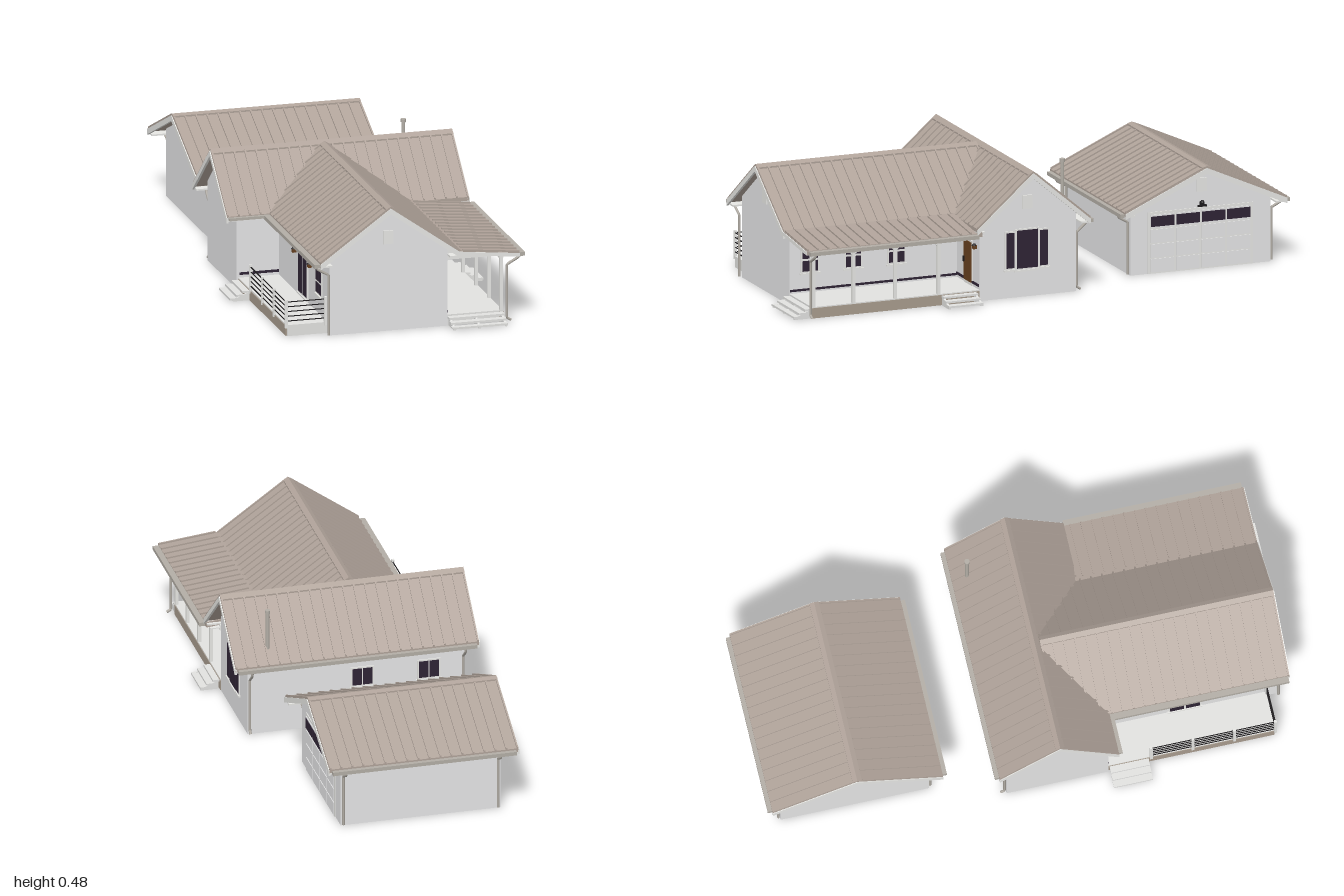
import * as THREE from 'three';

const mat = (name, color) => Object.assign(new THREE.MeshStandardMaterial({ color }), { name });

export function createModel() {
  const root = new THREE.Group();
  root.name = 'houseWithGarage';
  const wall = mat('pale wall', 0xe5e5e6), trim = mat('white trim', 0xebebe8);
  const roofing = mat('taupe roof', 0xb0a39a);
  const glass = mat('dark purple', 0x2f2435), wood = mat('brown door', 0x66401f);
  const gutterMat = mat('grey gutter', 0xb3aea6), stone = mat('tan skirting', 0xa89c8e);
  const black = mat('black metal', 0x1c1a1c), deckMat = mat('light decking', 0xe2e2e0);

  const add = (name, geo, m) => {
    const mesh = new THREE.Mesh(geo, m);
    mesh.name = name;
    root.add(mesh);
    return mesh;
  };
  // box given by its limits
  const box = (name, m, x0, x1, y0, y1, z0, z1) =>
    add(name, new THREE.BoxGeometry(x1 - x0, y1 - y0, z1 - z0), m)
      .position.set((x0 + x1) / 2, (y0 + y1) / 2, (z0 + z1) / 2);
  // box addressed by (along, across) so that it can follow either ridge direction
  const rbox = (name, m, axis, a0, a1, y0, y1, u0, u1) => axis === 'x'
    ? box(name, m, a0, a1, y0, y1, u0, u1) : box(name, m, u0, u1, y0, y1, a0, a1);
  // polygon in (across, y) swept along an axis
  const prism = (name, m, axis, pts, from, to) => {
    const s = new THREE.Shape(pts.map(([u, y]) => new THREE.Vector2(axis === 'x' ? -u : u, y)));
    const g = new THREE.ExtrudeGeometry(s, { depth: to - from, bevelEnabled: false });
    g.translate(0, 0, from);
    if (axis === 'x') g.rotateY(Math.PI / 2);
    return add(name, g, m);
  };
  const band = (p, q, lo, hi) => [[p[0], p[1] + lo], [q[0], q[1] + lo], [q[0], q[1] + hi], [p[0], p[1] + hi]];

  // one roof plane with standing seams that stop short of the ridge cap
  function slope(axis, from, to, p, q) {
    prism('roofPlane', roofing, axis, band(p, q, -0.014, 0), from, to);
    const n = Math.round((to - from) / 0.0415);
    const top = [p[0] + (q[0] - p[0]) * 0.06, p[1] + (q[1] - p[1]) * 0.06];
    for (let i = 0; i <= n; i++) {
      const c = from + 0.004 + (to - from - 0.008) * i / n;
      prism('roofSeam', roofing, axis, band(top, q, -0.001, 0.006), c - 0.003, c + 0.003);
    }
  }

  // gabled block: walls, roof, rakes, soffits, gutters
  function gabled(axis, w, len, roofLen, ridge, eaves, gutters, rakes) {
    const at = u => {
      const e = u < ridge[0] ? eaves[0] : eaves[1];
      return ridge[1] + (e[1] - ridge[1]) * (u - ridge[0]) / (e[0] - ridge[0]);
    };
    prism('walls', wall, axis, [[w[0], 0], [w[1], 0], [w[1], at(w[1]) - 0.012],
      [ridge[0], ridge[1] - 0.012], [w[0], at(w[0]) - 0.012]], len[0], len[1]);
    eaves.forEach((e, i) => {
      slope(axis, roofLen[0], roofLen[1], ridge, e);
      const s = Math.sign(e[0] - ridge[0]), lo = Math.min(e[0], w[i]), hi = Math.max(e[0], w[i]);
      rbox('soffit', trim, axis, roofLen[0] + 0.004, roofLen[1] - 0.004, e[1] - 0.019, e[1] - 0.013, lo, hi);
      if (gutters[i]) {
        const g = e[0] + s * 0.007;
        rbox('gutter', gutterMat, axis, roofLen[0] + 0.01, roofLen[1] - 0.01, e[1] - 0.02, e[1] - 0.006, g - 0.009, g + 0.009);
      }
      rakes.forEach(end => {
        const a = roofLen[end], out = end ? 0.003 : -0.003;
        prism('rakeBoard', trim, axis, band(ridge, e, -0.024, -0.003), Math.min(a - out * 2, a + out), Math.max(a - out * 2, a + out));
      });
    });
    const cap = [-1, 1].map(s => [ridge[0] + s * 0.017, at(ridge[0] + s * 0.017)]);
    prism('ridgeCap', roofing, axis, [[cap[0][0], cap[0][1] - 0.004], [cap[1][0], cap[1][1] - 0.004],
      [cap[1][0], cap[1][1] + 0.006], [ridge[0], ridge[1] + 0.004], [cap[0][0], cap[0][1] + 0.006]], roofLen[0], roofLen[1]);
  }

  // plate on a wall: axis is the wall's normal, dir the side it faces
  const plate = (name, m, axis, pos, dir, c0, c1, y0, y1, t) => {
    const a = Math.min(pos, pos + dir * t), b = Math.max(pos, pos + dir * t);
    return axis === 'x' ? box(name, m, a, b, y0, y1, c0, c1) : box(name, m, c0, c1, y0, y1, a, b);
  };
  function windowAt(axis, pos, dir, c, w, y0, y1, cols, rows, gap = 0.008) {
    plate('windowFrame', trim, axis, pos, dir, c - w / 2 - 0.006, c + w / 2 + 0.006, y0 - 0.006, y1 + 0.006, 0.004);
    plate('windowSill', trim, axis, pos, dir, c - w / 2 - 0.01, c + w / 2 + 0.01, y0 - 0.012, y0 - 0.006, 0.008);
    const pw = (w - gap * (cols - 1)) / cols, ph = (y1 - y0 - gap * (rows - 1)) / rows;
    for (let i = 0; i < cols; i++) for (let j = 0; j < rows; j++) {
      const a = c - w / 2 + i * (pw + gap), b = y0 + j * (ph + gap);
      plate('windowPane', glass, axis, pos, dir, a, a + pw, b, b + ph, 0.006);
    }
  }
  const vent = (axis, pos, dir, c, y) => plate('gableVent', trim, axis, pos, dir, c - 0.019, c + 0.019, y, y + 0.05, 0.006);
  // wall lamp: body under a domed black cap
  function lampAt(axis, pos, dir, c, y, m) {
    plate('lampBody', m, axis, pos, dir, c - 0.007, c + 0.007, y, y + 0.014, 0.014);
    const dome = add('lampCap', new THREE.CylinderGeometry(0.004, 0.009, 0.008, 10), black);
    const p = pos + dir * 0.009;
    dome.position.set(axis === 'x' ? p : c, y + 0.016, axis === 'x' ? c : p);
  }
  function downspout(...pts) {
    const path = new THREE.CurvePath();
    const v = pts.map(p => new THREE.Vector3(...p));
    for (let i = 1; i < v.length; i++) path.add(new THREE.LineCurve3(v[i - 1], v[i]));
    add('downspout', new THREE.TubeGeometry(path, 36, 0.005, 6), gutterMat);
  }

  // main cross wing, front wing and garage
  gabled('x', [-0.11, 0.27], [-0.415, 0.4], [-0.46, 0.455], [0.08, 0.477], [[-0.145, 0.285], [0.3, 0.285]], [1, 0], [0, 1]);
  gabled('z', [-0.255, 0.19], [0.2, 0.93], [0.1, 0.97], [-0.035, 0.477], [[-0.3, 0.287], [0.232, 0.287]], [0, 0], [1]);
  gabled('x', [-0.933, -0.38], [-0.333, 0.267], [-0.39, 0.32], [-0.66, 0.392], [[-0.975, 0.25], [-0.34, 0.25]], [1, 1], [0, 1]);
  box('wingGutter', gutterMat, -0.323, -0.3, 0.268, 0.282, 0.3, 0.965);
  box('mainGutter', gutterMat, -0.455, -0.3, 0.272, 0.282, 0.3, 0.314);

  // porch roof, beam, ceiling and posts
  slope('z', 0.28, 0.97, [0.225, 0.292], [0.452, 0.268]);
  box('porchGutter', gutterMat, 0.45, 0.474, 0.252, 0.266, 0.3, 0.965);
  box('porchCeiling', trim, 0.19, 0.44, 0.25, 0.254, 0.27, 0.93);
  prism('porchFrontPanel', trim, 'z', [[0.19, 0.25], [0.405, 0.25], [0.44, 0.256], [0.225, 0.278], [0.19, 0.3]], 0.915, 0.93);
  prism('porchFascia', trim, 'z', band([0.225, 0.292], [0.452, 0.268], -0.016, -0.003), 0.964, 0.973);
  box('porchBeam', trim, 0.387, 0.403, 0.24, 0.262, 0.27, 0.93);
  for (const z of [0.922, 0.765, 0.6, 0.43]) {
    box('porchPost', trim, 0.389, 0.401, 0.04, 0.245, z - 0.006, z + 0.006);
    for (const s of [-1, 1]) {
      if (z > 0.9 && s > 0) continue;
      prism('postBracket', trim, 'x', [[z, 0.212], [z + s * 0.01, 0.228], [z + s * 0.024, 0.242], [z, 0.242]], 0.391, 0.399);
    }
  }

  // porch and side deck
  box('porchFloor', deckMat, 0.19, 0.4, 0.034, 0.042, 0.27, 0.93);
  box('porchSkirt', stone, 0.388, 0.402, 0, 0.038, 0.27, 0.93);
  box('porchFrontSkirt', deckMat, 0.19, 0.4, 0, 0.034, 0.915, 0.928);
  box('deckFloor', deckMat, -0.408, -0.255, 0.034, 0.042, 0.27, 0.897);
  box('deckSkirt', stone, -0.41, -0.396, 0, 0.038, 0.27, 0.89);
  box('deckFrontSkirt', deckMat, -0.405, -0.255, 0, 0.034, 0.885, 0.896);

  // steps at the porch front and both sides
  for (let i = 0; i < 3; i++) {
    const y = 0.036 - i * 0.012, a = i * 0.024, b = a + 0.026;
    box('frontStep', deckMat, 0.19, 0.4, y - 0.007, y, 0.93 + a, Math.min(0.93 + b, 1));
    box('rightStep', deckMat, 0.4 + a, 0.4 + b, y - 0.007, y, 0.285, 0.42);
    box('leftStep', deckMat, -0.41 - b, -0.41 - a, y - 0.007, y, 0.275, 0.42);
  }
  for (const z of [0.285, 0.412]) for (const s of [-1, 1]) {
    prism('stepStringer', deckMat, 'z', [[s * 0.405, 0], [s * 0.472, 0], [s * 0.472, 0.006], [s * 0.405, 0.034]], z, z + 0.008);
  }
  for (const x of [0.195, 0.29, 0.39]) {
    prism('stepStringer', deckMat, 'x', [[0.93, 0], [0.998, 0], [0.998, 0.006], [0.93, 0.034]], x, x + 0.008);
  }

  // deck railing
  for (const z of [0.43, 0.585, 0.74, 0.893]) box('railPost', trim, -0.414, -0.404, 0.03, 0.137, z - 0.005, z + 0.005);
  box('railPost', trim, -0.266, -0.256, 0.03, 0.137, 0.888, 0.898);
  for (let i = 0; i < 5; i++) {
    const y = 0.055 + i * 0.018;
    box('railBar', black, -0.41, -0.407, y, y + 0.003, 0.43, 0.893);
    box('railBar', black, -0.41, -0.258, y, y + 0.003, 0.892, 0.895);
  }

  // dark skirting line along the porch and deck walls
  for (const [x0, x1] of [[0.19, 0.268], [0.336, 0.398], [-0.405, -0.256]]) {
    plate('wallBase', glass, 'z', 0.27, 1, x0, x1, 0.053, 0.062, 0.004);
  }
  plate('wallBase', glass, 'x', 0.19, 1, 0.272, 0.928, 0.049, 0.057, 0.003);

  // front door with its lamps
  plate('doorFrame', trim, 'z', 0.27, 1, 0.263, 0.34, 0.042, 0.212, 0.004);
  plate('frontDoor', wood, 'z', 0.27, 1, 0.27, 0.333, 0.055, 0.204, 0.008);
  box('doorHandle', black, 0.273, 0.278, 0.122, 0.142, 0.277, 0.283);
  for (const x of [0.228, 0.371]) lampAt('z', 0.27, 1, x, 0.19, wood);

  // windows, side door and vents
  for (const z of [0.85, 0.68, 0.51]) windowAt('x', 0.19, 1, z, 0.06, 0.122, 0.208, 2, 2);
  windowAt('x', 0.4, 1, 0.083, 0.082, 0.108, 0.25, 1, 1);
  for (const z of [0.018, 0.15]) windowAt('x', 0.4, 1, z, 0.03, 0.112, 0.244, 1, 1);
  for (const x of [-0.03, -0.28]) windowAt('z', -0.11, -1, x, 0.076, 0.15, 0.215, 2, 1, 0.004);
  windowAt('x', -0.255, -1, 0.59, 0.11, 0.06, 0.205, 2, 1);
  windowAt('x', -0.255, -1, 0.8, 0.065, 0.122, 0.208, 2, 2);
  for (const z of [0.49, 0.69]) lampAt('x', -0.255, -1, z, 0.19, wood);
  vent('z', 0.93, 1, -0.035, 0.33);
  for (const [x, s] of [[0.4, 1], [-0.415, -1]]) vent('x', x, s, 0.083, 0.33);
  for (const [x, s] of [[0.267, 1], [-0.333, -1]]) vent('x', x, s, -0.66, 0.29);

  // garage door: panel grid with a row of windows
  plate('garageDoorFrame', trim, 'x', 0.267, 1, -0.862, -0.448, 0, 0.23, 0.003);
  for (let i = 0; i < 4; i++) {
    const z = -0.855 + i * 0.1;
    for (let j = 0; j < 4; j++) {
      plate('garagePanel', wall, 'x', 0.267, 1, z + 0.004, z + 0.096, 0.005 + j * 0.055, 0.055 + j * 0.055, 0.006);
    }
    plate('garageWindow', glass, 'x', 0.273, 1, z + 0.004, z + 0.096, 0.176, 0.214, 0.002);
  }
  lampAt('x', 0.267, 1, -0.66, 0.238, black);
  box('garageLampBar', black, 0.271, 0.28, 0.234, 0.24, -0.677, -0.643);

  // stove pipe
  add('stovePipe', new THREE.CylinderGeometry(0.007, 0.007, 0.18, 12), gutterMat).position.set(0.32, 0.385, -0.09);
  add('pipeCap', new THREE.CylinderGeometry(0.01, 0.01, 0.012, 12), gutterMat).position.set(0.32, 0.475, -0.09);

  // downspouts
  downspout([0.462, 0.26, 0.94], [0.458, 0.243, 0.94], [0.412, 0.217, 0.94], [0.412, 0.015, 0.94], [0.428, 0.006, 0.94]);
  downspout([-0.31, 0.27, 0.938], [-0.305, 0.257, 0.938], [-0.261, 0.232, 0.938], [-0.261, 0.004, 0.938]);
  for (const x of [-0.408, 0.393]) downspout([x, 0.265, -0.154], [x, 0.25, -0.15], [x, 0.22, -0.116], [x, 0.015, -0.116], [x, 0.006, -0.13]);
  for (const x of [-0.323, 0.258]) {
    downspout([x, 0.232, -0.334], [x, 0.22, -0.338], [x, 0.2, -0.374], [x, 0.004, -0.374]);
    downspout([x, 0.232, -0.981], [x, 0.22, -0.977], [x, 0.2, -0.939], [x, 0.004, -0.939]);
  }
  return root;
}
